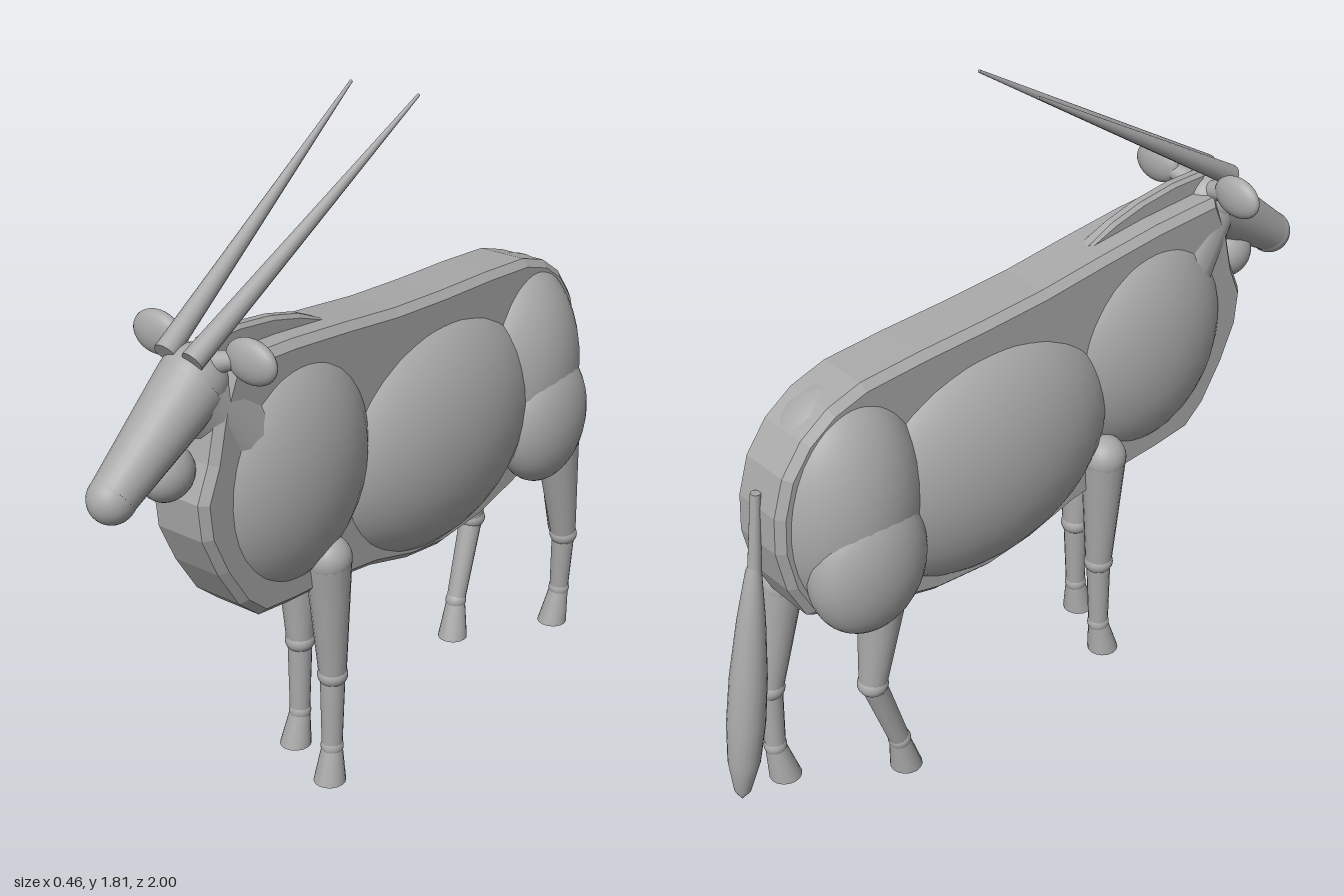
import * as THREE from 'three';

const grey = new THREE.MeshStandardMaterial({ color: 0xa9a9a9 });
grey.name = 'grey';

export function createModel() {
  const model = new THREE.Group();
  model.name = 'longHornedAntelope';

  function add(name, geometry, parent = model) {
    const mesh = new THREE.Mesh(geometry, grey);
    mesh.name = name;
    parent.add(mesh);
    return mesh;
  }

  function ellipsoid(name, position, radii, parent) {
    const mesh = add(name, new THREE.SphereGeometry(1, 32, 20), parent);
    mesh.position.set(...position);
    mesh.scale.set(...radii);
    return mesh;
  }

  // Turns a geometry built along +y so that it runs from a to b
  function align(mesh, a, b) {
    const start = new THREE.Vector3(...a);
    const direction = new THREE.Vector3(...b).sub(start);
    mesh.position.copy(start);
    mesh.quaternion.setFromUnitVectors(new THREE.Vector3(0, 1, 0), direction.normalize());
    return mesh;
  }

  // Tapered round bar from a (radius ra) to b (radius rb)
  function bar(name, a, b, ra, rb, parent, sides = 16) {
    const length = new THREE.Vector3(...a).distanceTo(new THREE.Vector3(...b));
    const geometry = new THREE.CylinderGeometry(rb, ra, length, sides);
    geometry.translate(0, length / 2, 0);
    return align(add(name, geometry, parent), a, b);
  }

  // Side outline given as (z, y) points, extruded across x with a bevel
  function sideSlab(name, points, width, bevel) {
    const shape = new THREE.Shape(points.map(([z, y]) => new THREE.Vector2(z, y)));
    const geometry = new THREE.ExtrudeGeometry(shape, {
      depth: width - 2 * bevel, bevelEnabled: true, bevelThickness: bevel,
      bevelSize: bevel, bevelOffset: -bevel, bevelSegments: 1,
    });
    geometry.translate(0, 0, -(width - 2 * bevel) / 2);
    geometry.rotateY(-Math.PI / 2);
    return add(name, geometry);
  }

  // Trunk with bevelled rim, and the ridge of the mane
  sideSlab('trunk', [
    [0.62, 1.31], [0.4, 1.3], [0.2, 1.28], [0, 1.257], [-0.2, 1.245], [-0.4, 1.238],
    [-0.58, 1.226], [-0.68, 1.195], [-0.76, 1.14], [-0.82, 1.06], [-0.85, 0.96],
    [-0.855, 0.86], [-0.83, 0.74], [-0.78, 0.64], [-0.68, 0.59], [-0.54, 0.55],
    [-0.38, 0.51], [-0.2, 0.497], [-0.06, 0.515], [0.1, 0.56], [0.27, 0.585],
    [0.42, 0.595], [0.54, 0.61], [0.61, 0.67], [0.68, 0.78], [0.73, 0.89],
    [0.74, 0.99], [0.7, 1.08], [0.67, 1.2],
  ], 0.18, 0.02);
  sideSlab('mane', [
    [0.64, 1.36], [0.52, 1.36], [0.4, 1.345], [0.3, 1.32], [0.2, 1.275], [0.64, 1.28],
  ], 0.04, 0.01);

  // Body masses
  ellipsoid('shoulders', [0, 0.945, 0.385], [0.175, 0.33, 0.3]);
  ellipsoid('belly', [0, 0.84, -0.19], [0.212, 0.345, 0.45]);
  ellipsoid('rump', [0, 0.885, -0.62], [0.2, 0.325, 0.225]);
  for (const side of [1, -1]) {
    ellipsoid('thigh', [side * 0.12, 0.755, -0.625], [0.11, 0.2, 0.17]);
  }

  // Neck, head, muzzle and throat
  bar('neck', [0, 1.08, 0.52], [0, 1.25, 0.67], 0.12, 0.085);
  bar('face', [0, 1.255, 0.675], [0, 1.07, 0.94], 0.088, 0.058, model, 24);
  ellipsoid('crown', [0, 1.265, 0.665], [0.086, 0.088, 0.088]);
  ellipsoid('muzzle', [0, 1.067, 0.942], [0.058, 0.06, 0.06]);
  ellipsoid('throat', [0, 1.065, 0.765], [0.06, 0.07, 0.075]);

  // Horns and ears
  for (const side of [1, -1]) {
    bar('horn', [side * 0.042, 1.335, 0.71], [side * 0.105, 1.803, -0.05], 0.029, 0.004);
    const ear = ellipsoid('ear', [side * 0.147, 1.335, 0.625], [0.075, 0.056, 0.03]);
    ear.rotation.z = side * -0.05;
    bar('earBase', [side * 0.04, 1.31, 0.645], [side * 0.1, 1.33, 0.628], 0.03, 0.022);
  }

  // Legs: hip, knee, ankle and hoof positions in (x, y, z)
  function leg(name, top, knee, ankle, hoof, topRadius) {
    const group = new THREE.Group();
    group.name = name;
    model.add(group);
    ellipsoid('legTop', top, [topRadius, topRadius, topRadius], group);
    bar('upperLeg', top, knee, topRadius, 0.037, group);
    ellipsoid('knee', knee, [0.041, 0.034, 0.041], group);
    bar('lowerLeg', knee, ankle, 0.034, 0.028, group);
    ellipsoid('ankle', ankle, [0.031, 0.03, 0.031], group);
    // Pastern and hoof lean forward and end flat on the ground
    const height = ankle[1];
    const foot = new THREE.CylinderGeometry(0.028, 0.044, height, 16, 3);
    const p = foot.attributes.position;
    for (let i = 0; i < p.count; i++) {
      const t = 0.5 - p.getY(i) / height;
      p.setX(i, p.getX(i) + t * (hoof[0] - ankle[0]));
      p.setZ(i, p.getZ(i) + t * (hoof[2] - ankle[2]));
    }
    foot.computeVertexNormals();
    add('hoof', foot, group).position.set(ankle[0], height / 2, ankle[2]);
  }
  leg('leftForeleg', [0.1, 0.68, 0.305], [0.09, 0.32, 0.28], [0.09, 0.1, 0.285], [0.093, 0, 0.3], 0.062);
  leg('rightForeleg', [-0.1, 0.68, 0.2], [-0.09, 0.32, 0.2], [-0.09, 0.1, 0.205], [-0.093, 0, 0.222], 0.062);
  leg('leftHindLeg', [0.112, 0.62, -0.73], [0.11, 0.3, -0.79], [0.1, 0.11, -0.795], [0.092, 0, -0.776], 0.064);
  leg('rightHindLeg', [-0.112, 0.62, -0.58], [-0.11, 0.355, -0.62], [-0.1, 0.11, -0.535], [-0.092, 0, -0.51], 0.064);

  // Tail: thin stem and pointed tuft
  bar('tailStem', [0, 1.0, -0.85], [0, 0.78, -0.872], 0.013, 0.018);
  const tuft = [
    [0, 0], [0.022, 0.03], [0.042, 0.12], [0.05, 0.24], [0.048, 0.38],
    [0.036, 0.55], [0.02, 0.69], [0, 0.74],
  ].map(([r, y]) => new THREE.Vector2(r, y));
  align(add('tailTuft', new THREE.LatheGeometry(tuft, 20)), [0, 0.1, -0.972], [0, 0.83, -0.868]);

  return model;
}
